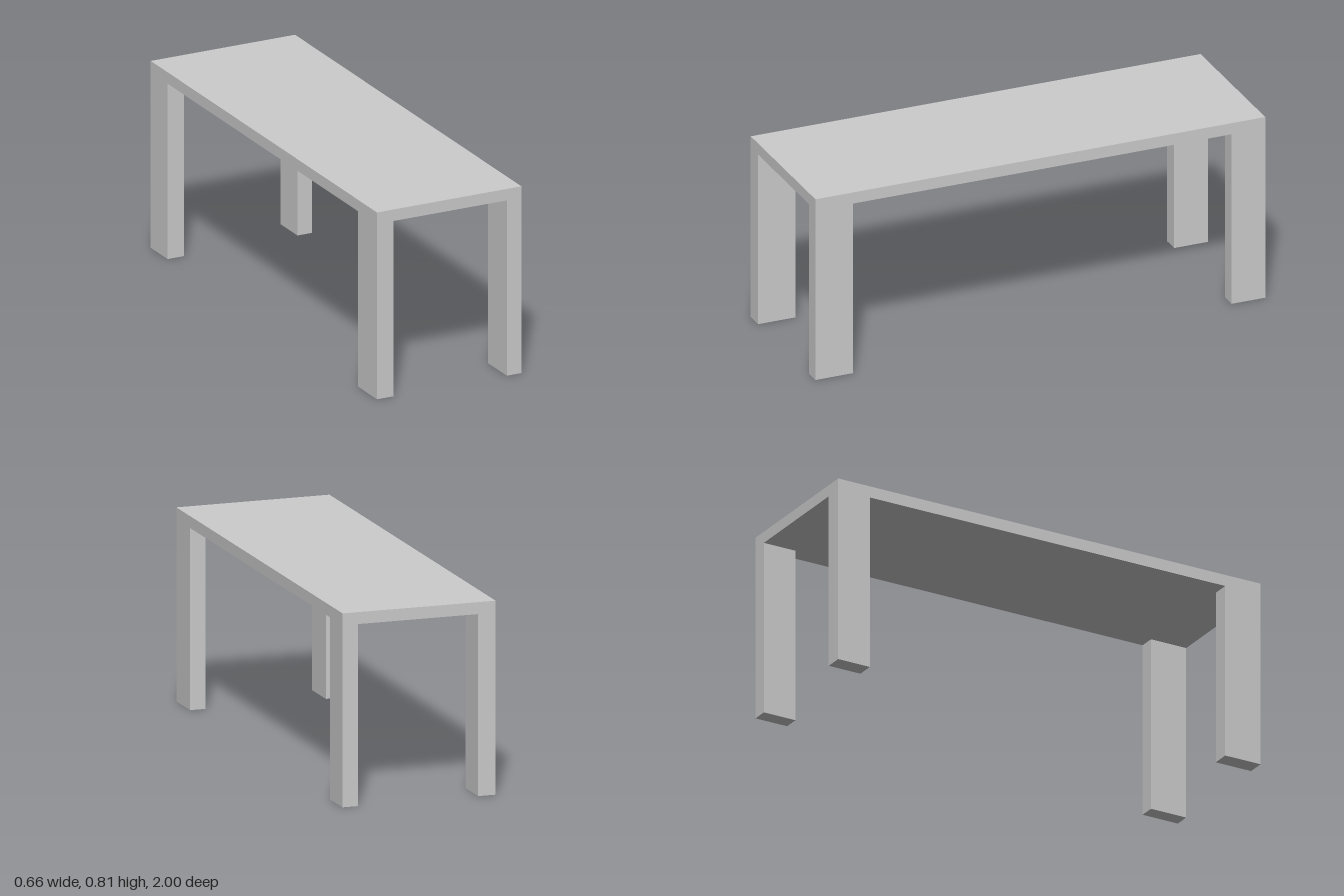
import * as THREE from 'three';

export function createModel() {
  const table = new THREE.Group();
  table.name = 'table';
  const material = new THREE.MeshStandardMaterial({ color: 0xcccccc, flatShading: true });

  const halfWidth = 0.332, halfLength = 1, height = 0.813, underside = 0.763;

  // Box spanning two opposite corners
  const addBox = (name, min, max) => {
    const size = max.map((v, i) => v - min[i]);
    const mesh = new THREE.Mesh(new THREE.BoxGeometry(...size), material);
    mesh.position.set(...max.map((v, i) => (v + min[i]) / 2));
    mesh.name = name;
    table.add(mesh);
  };

  // Tabletop slab
  addBox('tabletop', [-halfWidth, underside, -halfLength], [halfWidth, height, halfLength]);

  // Corner legs, flush with the slab edges; right legs are wider, front legs deeper
  const sides = [['Left', halfWidth - 0.067, halfWidth], ['Right', -halfWidth, -halfWidth + 0.076]];
  const ends = [['front', halfLength - 0.167, halfLength], ['back', -halfLength, -halfLength + 0.15]];
  for (const [side, x0, x1] of sides) {
    for (const [end, z0, z1] of ends) {
      addBox(`${end}${side}Leg`, [x0, 0, z0], [x1, underside, z1]);
    }
  }
  return table;
}
